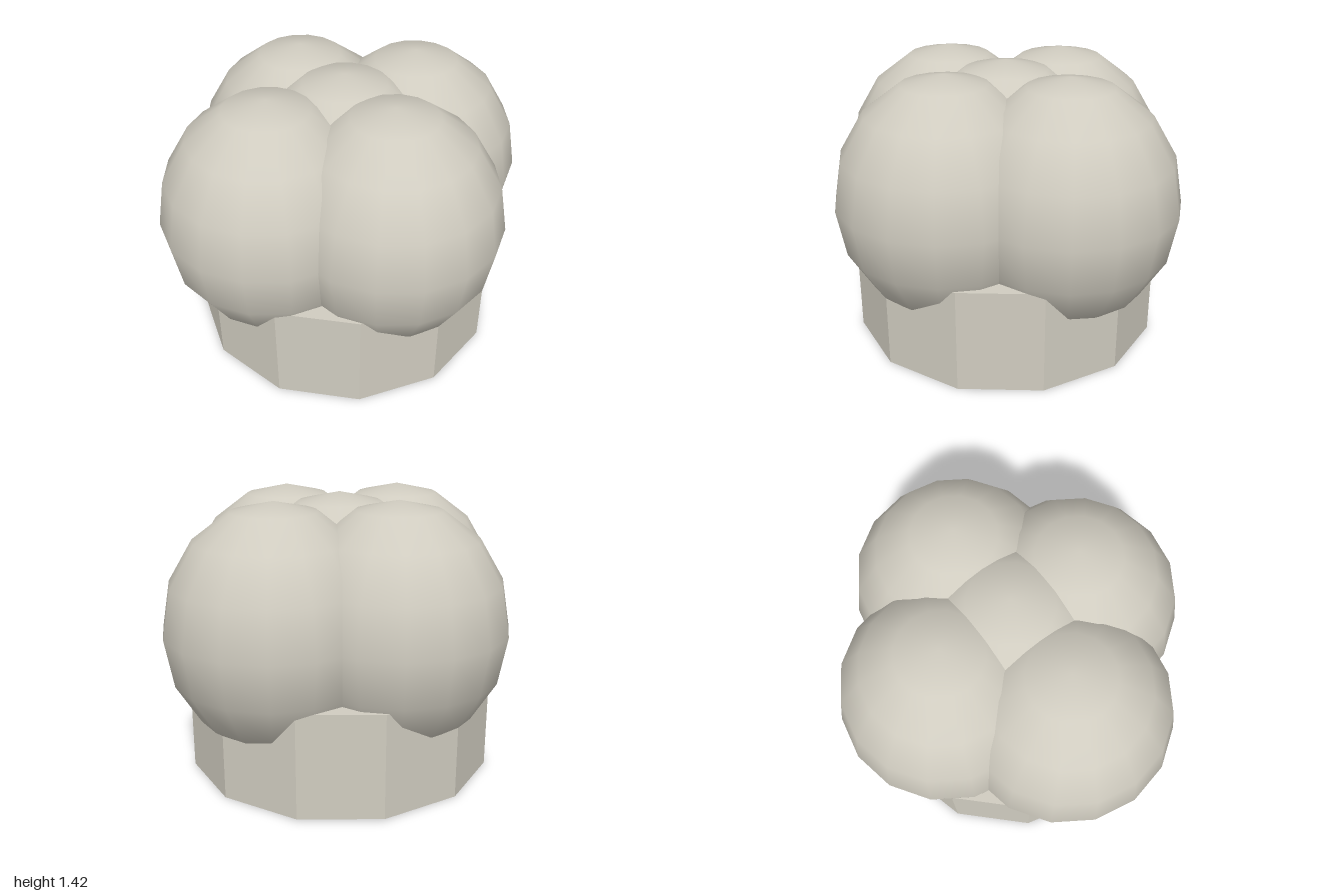
import * as THREE from 'three';

export function createModel() {
  const model = new THREE.Group();
  model.name = 'lobedCushion';

  const stone = new THREE.MeshStandardMaterial({ color: 0xd0ccc0 });
  stone.name = 'warm grey';
  const stoneFaceted = stone.clone();
  stoneFaceted.name = 'warm grey faceted';
  stoneFaceted.flatShading = true;

  // Twelve-sided base standing on the ground
  const baseHeight = 0.533;
  const base = new THREE.Mesh(new THREE.CylinderGeometry(0.8, 0.8, baseHeight, 12), stoneFaceted);
  base.name = 'base';
  base.position.y = baseHeight / 2;
  model.add(base);

  // Five overlapping lobes, slightly taller than wide
  const lobeGeometry = new THREE.SphereGeometry(0.5556, 16, 8).scale(1, 1.12, 1);
  const lobes = [
    ['centreLobe', 0, 0],
    ['leftLobe', 0.4444, 0],
    ['rightLobe', -0.4444, 0],
    ['frontLobe', 0, 0.4],
    ['backLobe', 0, -0.4],
  ];
  for (const [name, x, z] of lobes) {
    const lobe = new THREE.Mesh(lobeGeometry, stone);
    lobe.name = name;
    lobe.position.set(x, 0.8, z);
    model.add(lobe);
  }

  return model;
}
